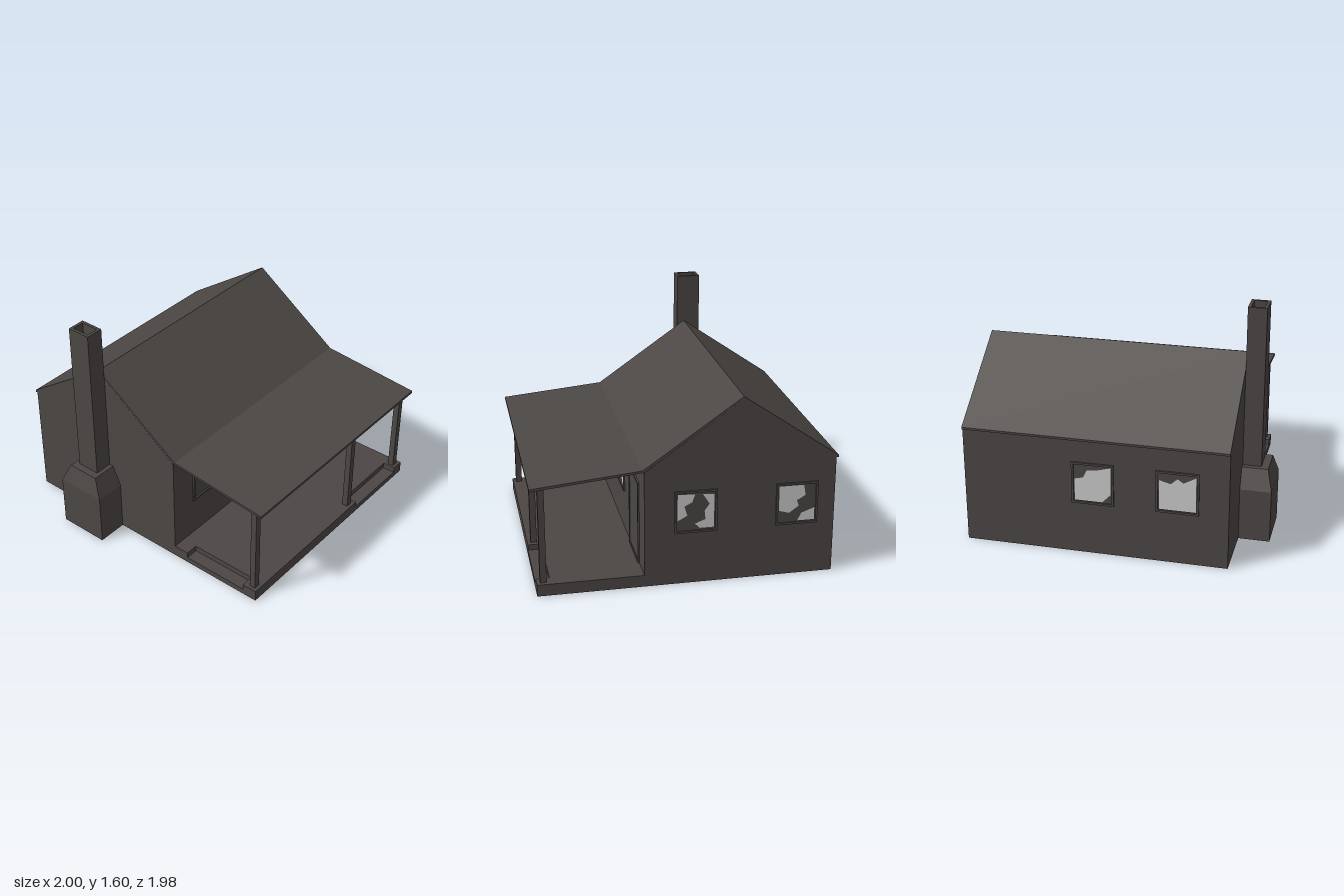
import * as THREE from 'three';

const weathered = new THREE.MeshStandardMaterial({ color: 0x4c4745 });
weathered.name = 'weathered grey brown';
const paleGlass = new THREE.MeshStandardMaterial({ color: 0xcccccc, side: THREE.DoubleSide });
paleGlass.name = 'pale glass';

const BACK = -0.98, FRONT = 0.78, LENGTH = FRONT - BACK;

const toShape = (pts) => new THREE.Shape(pts.map(([x, y]) => new THREE.Vector2(x, y)));

const rectPoints = (x0, y0, x1, y1) => [[x0, y0], [x1, y0], [x1, y1], [x0, y1]];

function mesh(name, geometry, material = weathered) {
  const m = new THREE.Mesh(geometry, material);
  m.name = name;
  return m;
}

function extrude(name, shape, depth) {
  return mesh(name, new THREE.ExtrudeGeometry(shape, { depth, bevelEnabled: false }));
}

// Box given by its minimum and maximum corners
function box(name, [x0, y0, z0], [x1, y1, z1]) {
  const g = new THREE.BoxGeometry(x1 - x0, y1 - y0, z1 - z0);
  g.translate((x0 + x1) / 2, (y0 + y1) / 2, (z0 + z1) / 2);
  return mesh(name, g);
}

// Flat border around an opening, facing local +z
function frame(name, w, h, border, depth) {
  const s = toShape(rectPoints(-w / 2, -h / 2, w / 2, h / 2));
  const a = w / 2 - border, b = h / 2 - border;
  s.holes.push(toShape(rectPoints(-a, -b, a, b)));
  return extrude(name, s, depth);
}

// Framed window with broken pieces of glass; shards use -1..1 pane coordinates
function brokenWindow(shards) {
  const g = new THREE.Group();
  g.name = 'window';
  const w = 0.28, h = 0.29, border = 0.014;
  g.add(frame('windowFrame', w, h, border, 0.011));
  for (const pts of shards) {
    const scaled = pts.map(([x, y]) => [x * (w / 2 - border), y * (h / 2 - border)]);
    const shard = mesh('glassShard', new THREE.ShapeGeometry(toShape(scaled)), paleGlass);
    shard.position.z = 0.003;
    g.add(shard);
  }
  return g;
}

export function createModel() {
  const house = new THREE.Group();
  house.name = 'cabin';

  // Gabled body
  const walls = extrude('walls', toShape([
    [-0.985, 0], [0.275, 0], [0.275, 0.795], [-0.36, 1.243], [-0.985, 0.805],
  ]), LENGTH);
  walls.position.z = BACK;
  house.add(walls);

  // Main roof running on into the shallow porch roof
  const roof = extrude('roof', toShape([
    [-1, 0.818], [-1, 0.803], [-0.985, 0.805], [-0.36, 1.243], [0.275, 0.797],
    [1, 0.725], [1, 0.743], [0.285, 0.811], [-0.36, 1.26],
  ]), LENGTH);
  roof.position.z = BACK;
  house.add(roof);

  // Porch deck: full lower slab, upper slab notched for two steps (shape y is -z)
  house.add(box('deckBase', [0.275, 0, BACK], [0.97, 0.04, FRONT]));
  const deck = extrude('deckTop', toShape([
    [0.275, -FRONT], [0.385, -FRONT], [0.385, -0.69], [0.865, -0.69], [0.865, -FRONT], [0.97, -FRONT],
    [0.97, 0.39], [0.88, 0.39], [0.88, 0.89], [0.97, 0.89], [0.97, -BACK], [0.275, -BACK],
  ]), 0.04);
  deck.rotation.x = -Math.PI / 2;
  deck.position.y = 0.04;
  house.add(deck);

  // Porch posts
  for (const z of [0.735, -0.333, -0.93]) {
    house.add(box('porchPost', [0.905, 0.08, z - 0.022], [0.947, 0.733, z + 0.022]));
  }

  // Door on the porch wall
  const door = new THREE.Group();
  door.name = 'door';
  door.add(frame('doorFrame', 0.335, 0.575, 0.014, 0.011));
  const panel = mesh('doorPanel', new THREE.BoxGeometry(0.307, 0.547, 0.006));
  panel.position.z = 0.002;
  door.add(panel);
  door.position.set(0.275, 0.3675, -0.634);
  door.rotation.y = Math.PI / 2;
  house.add(door);

  // Windows: position, turn and remaining glass
  const windows = [
    [0.275, 0.447, Math.PI / 2, [
      [[-0.95, 1], [-0.2, 1], [-0.15, 0.7], [-0.28, 0.6], [-0.2, 0.3], [-0.55, 0.1], [-0.68, 0.38], [-0.95, 0.25]]]],
    [0.275, -0.11, Math.PI / 2, [
      [[-0.95, 0.85], [-0.8, 1], [0.4, 1], [0.9, 0.8], [0.95, -0.8], [0.8, -0.95], [0.25, -0.95], [-0.05, -0.65], [-0.1, -0.35], [-0.98, -0.28]]]],
    [-0.06, BACK, Math.PI, [
      [[-0.95, 0.95], [-0.05, 0.9], [-0.2, 0.5], [-0.6, 0.3], [-0.45, -0.2], [-0.95, -0.45]],
      [[0.35, 0.9], [0.95, 0.85], [0.95, -0.9], [0.2, -0.9], [-0.05, -0.65], [0.5, -0.45], [0.45, 0], [0.7, 0.35]]]],
    [-0.73, BACK, Math.PI, [
      [[-0.95, 0.95], [0.35, 0.95], [0.45, 0.4], [0, 0.15], [0.1, -0.15], [-0.4, -0.5], [-0.95, -0.35]],
      [[0.25, -0.55], [0.95, -0.3], [0.95, -0.95], [0.05, -0.95]]]],
    [-0.985, -0.11, -Math.PI / 2, [
      [[-0.95, 0.2], [-0.5, 0.3], [-0.3, 0.7], [0.2, 0.75], [0.95, 0.95], [0.95, -0.5], [0.5, -0.95], [-0.95, -0.95]]]],
    [-0.985, 0.447, -Math.PI / 2, [
      [[-0.95, 0.6], [-0.35, 0.45], [0, 0.75], [0.3, 0.55], [0.95, 0.9], [0.95, -0.95], [-0.95, -0.95]]]],
  ];
  for (const [x, z, turn, shards] of windows) {
    const w = brokenWindow(shards);
    w.position.set(x, 0.505, z);
    w.rotation.y = turn;
    house.add(w);
  }

  // Chimney: hearth block, tapered shoulder and hollow stack
  const chimney = new THREE.Group();
  chimney.name = 'chimney';
  chimney.add(box('chimneyBase', [-0.573, 0, FRONT], [-0.217, 0.365, 0.99]));
  const shoulder = box('chimneyShoulder', [-0.573, 0.365, FRONT], [-0.217, 0.5, 0.99]);
  const p = shoulder.geometry.attributes.position;
  for (let i = 0; i < p.count; i++) {
    if (p.getY(i) < 0.45) continue;
    p.setX(i, p.getX(i) < -0.395 ? -0.51 : -0.28);
    if (p.getZ(i) > 0.9) p.setZ(i, 0.955);
  }
  shoulder.geometry = shoulder.geometry.toNonIndexed();
  shoulder.geometry.computeVertexNormals();
  chimney.add(shoulder);
  const ring = toShape(rectPoints(-0.475, -0.905, -0.31, -FRONT));
  ring.holes.push(toShape(rectPoints(-0.455, -0.885, -0.33, -0.8)));
  const stack = extrude('chimneyStack', ring, 1.1);
  stack.rotation.x = -Math.PI / 2;
  stack.position.y = 0.5;
  chimney.add(stack);
  house.add(chimney);

  return house;
}
